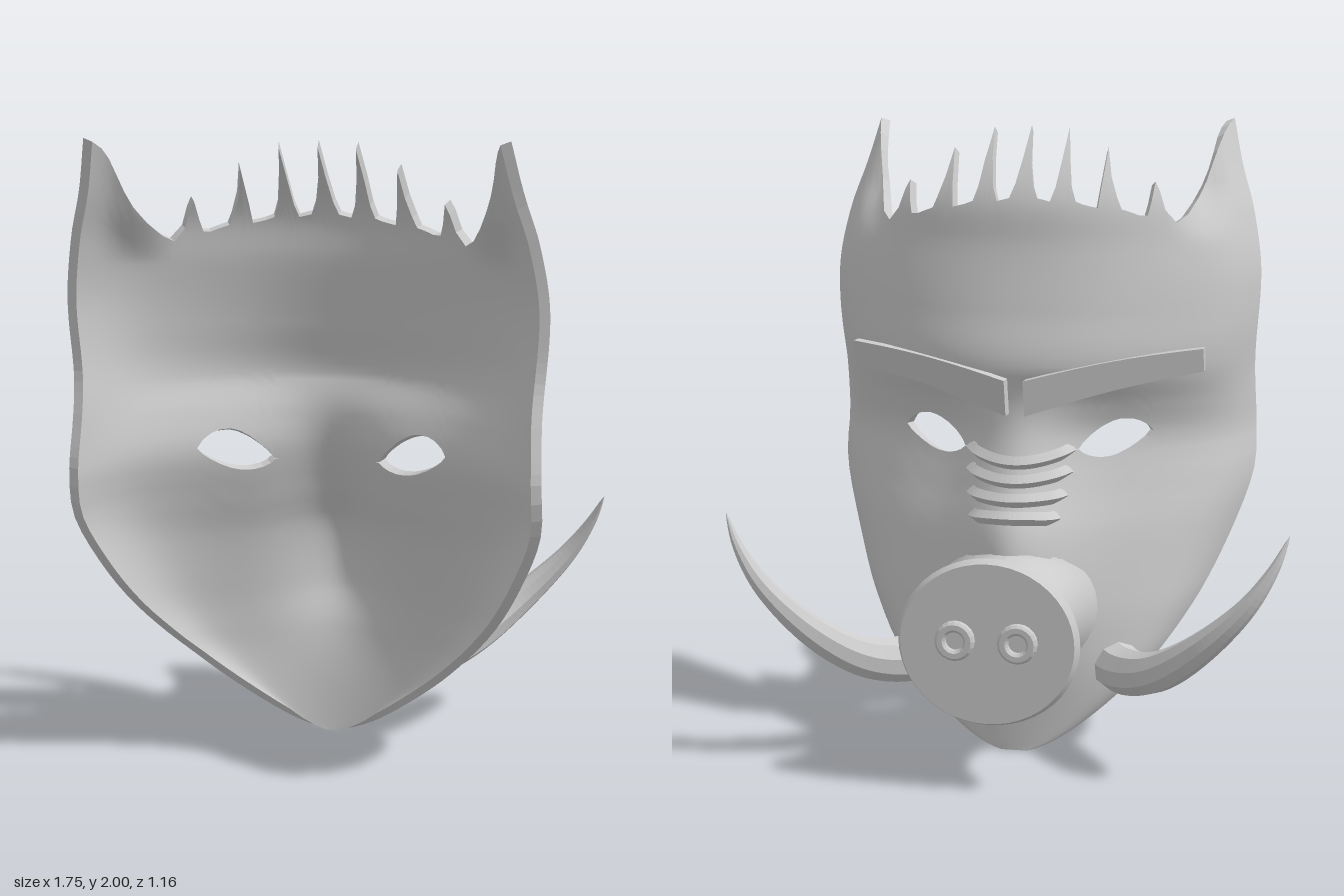
import * as THREE from 'three';

const mat = new THREE.MeshStandardMaterial({ color: 0xcccccc });
const facetMat = new THREE.MeshStandardMaterial({ color: 0xcccccc, flatShading: true });
const V = (x, y, z) => new THREE.Vector3(x, y, z);
const { clamp, lerp, smoothstep } = THREE.MathUtils;

// Smooth interpolation through [key, value] pairs
function profile(pts) {
  const slope = (i) => {
    const a = pts[Math.max(i - 1, 0)], b = pts[Math.min(i + 1, pts.length - 1)];
    return (b[1] - a[1]) / (b[0] - a[0]);
  };
  return (k) => {
    let i = 0;
    while (i < pts.length - 2 && k > pts[i + 1][0]) i++;
    const h = pts[i + 1][0] - pts[i][0];
    const t = clamp((k - pts[i][0]) / h, 0, 1), t2 = t * t, t3 = t2 * t;
    return (2 * t3 - 3 * t2 + 1) * pts[i][1] + (t3 - 2 * t2 + t) * h * slope(i)
      + (3 * t2 - 2 * t3) * pts[i + 1][1] + (t3 - t2) * h * slope(i + 1);
  };
}

// Mask profiles by height: half width, depth at the side edge, depth at the middle, nose bulge
const halfWidth = profile([[0, 0.04], [0.01, 0.075], [0.035, 0.13], [0.08, 0.2], [0.155, 0.295], [0.245, 0.39],
  [0.36, 0.485], [0.5, 0.575], [0.7, 0.665], [0.85, 0.71], [1, 0.71], [1.2, 0.705], [1.5, 0.72], [1.7, 0.69], [1.85, 0.645], [2, 0.61]]);
const edgeZ = profile([[0, -0.15], [0.1, -0.1], [0.2, -0.04], [0.3, 0.03], [0.4, 0.12], [0.6, 0.29], [0.8, 0.41],
  [0.9, 0.455], [1, 0.475], [1.15, 0.44], [1.3, 0.4], [1.45, 0.405], [1.6, 0.43], [1.8, 0.49], [2, 0.57]]);
const midZ = profile([[0, -0.15], [0.2, -0.17], [0.35, -0.17], [0.5, -0.15], [0.7, -0.1], [0.85, -0.04], [1, 0],
  [1.1, -0.03], [1.22, -0.09], [1.4, -0.06], [1.6, -0.02], [1.75, 0], [1.88, 0.07], [2, 0.17]]);
const noseBulge = profile([[0, 0], [0.2, 0], [0.35, 0.03], [0.5, 0.1], [0.7, 0.14], [0.85, 0.12], [1, 0.09], [1.1, 0.04], [1.2, 0], [2, 0]]);

function shellPoint(u, y) {
  const x = u * halfWidth(y), m = midZ(y), a = Math.abs(u);
  const ear = 0.17 * smoothstep(y, 1.6, 1.8) * smoothstep(a, 0.64, 0.8) * (1 - smoothstep(a, 0.8, 1));
  const bend = 0.7 * a ** 2 + 0.3 * a ** 12 + ear;
  return V(x, y, m + (edgeZ(y) - m) * bend - noseBulge(y) * Math.exp(-((x / 0.18) ** 2)));
}
const shellZ = (x, y) => shellPoint(clamp(x / halfWidth(y), -1, 1), y).z;

function shellNormal(u, y) {
  const e = 0.004, h = clamp(y, 0.03, 1.99);
  const du = shellPoint(u + e, h).sub(shellPoint(u - e, h));
  const dy = shellPoint(u, h + e).sub(shellPoint(u, h - e));
  return dy.cross(du).normalize();
}

// Top edge of one half as [x, y]: crown spikes, then the ear
const crown = [[0, 1.98], [0.012, 1.88], [0.028, 1.8], [0.045, 1.755], [0.085, 1.745], [0.1, 1.79], [0.113, 1.88],
  [0.122, 1.975], [0.138, 1.87], [0.15, 1.79], [0.165, 1.745], [0.177, 1.74], [0.19, 1.735], [0.21, 1.73], [0.233, 1.725],
  [0.24, 1.79], [0.25, 1.91], [0.268, 1.82], [0.29, 1.755], [0.305, 1.72], [0.335, 1.71], [0.36, 1.7], [0.383, 1.7],
  [0.392, 1.74], [0.4, 1.805], [0.415, 1.775], [0.435, 1.715], [0.47, 1.675], [0.5, 1.7], [0.525, 1.75], [0.543, 1.8],
  [0.556, 1.85], [0.57, 1.9], [0.585, 1.95], [0.597, 1.98], [0.61, 2]].map(([x, y]) => [x / halfWidth(y), y]);
const columns = [...crown.slice(1).reverse().map(([u, y]) => [-u, y]), ...crown];

// Heights of the eye line and its two lids
function lid(u, side) {
  const x = Math.abs(u) * 0.7;
  const line = 0.965 + 0.045 * smoothstep(x, 0.17, 0.41);
  const s = clamp((x - 0.182) / 0.221, 0, 1);
  return line + (side > 0 ? 0.066 : -0.046) * Math.max(0, Math.sin(Math.PI * s)) ** 0.7;
}

// Closed slab over a grid of surface heights; rows(u, top) lists the heights of a column
function slab(rows, name) {
  const pos = [], nor = [], T = 0.032;
  const grid = columns.map(([u, top]) => rows(u, top).map((y) => {
    const o = shellPoint(u, y), n = shellNormal(u, y), i = o.clone().addScaledVector(n, -T);
    i.y = clamp(i.y, 0, 2);
    return { o, n, i, m: n.clone().negate() };
  }));
  const quad = (p, n) => [0, 1, 2, 0, 2, 3].forEach((k) => { pos.push(...p[k].toArray()); nor.push(...n[k].toArray()); });
  const wall = (p, q) => {
    const n = p.o.clone().sub(q.o).cross(p.i.clone().sub(q.o)).normalize();
    quad([q.o, p.o, p.i, q.i], [n, n, n, n]);
  };
  const C = grid.length - 1, R = grid[0].length - 1;
  for (let c = 0; c < C; c++) for (let r = 0; r < R; r++) {
    const f = [grid[c][r], grid[c][r + 1], grid[c + 1][r + 1], grid[c + 1][r]];
    const back = [...f].reverse();
    quad(f.map((k) => k.o), f.map((k) => k.n));
    quad(back.map((k) => k.i), back.map((k) => k.m));
    if (c === 0) wall(f[0], f[1]);
    if (r === R - 1) wall(f[1], f[2]);
    if (c === C - 1) wall(f[2], f[3]);
    if (r === 0) wall(f[3], f[0]);
  }
  const g = new THREE.BufferGeometry();
  g.setAttribute('position', new THREE.Float32BufferAttribute(pos, 3));
  g.setAttribute('normal', new THREE.Float32BufferAttribute(nor, 3));
  return named(g, name);
}

function named(geometry, name, material = mat) {
  const mesh = new THREE.Mesh(geometry, material);
  mesh.name = name;
  return mesh;
}

// Move every vertex of a geometry by a rule
function warp(g, rule) {
  const p = g.attributes.position, v = V(0, 0, 0);
  for (let i = 0; i < p.count; i++) {
    v.fromBufferAttribute(p, i);
    rule(v, i);
    p.setXYZ(i, v.x, v.y, v.z);
  }
  g.computeVertexNormals();
  return g;
}

const steps = (n, fn) => Array.from({ length: n + 1 }, (_, i) => fn(i / n));
const lathe = (pts, n) => new THREE.LatheGeometry(pts.map(([r, d]) => new THREE.Vector2(r, d)), n).rotateX(-Math.PI / 2);

// Tapered, curved tusk
function tusk(s) {
  const curve = new THREE.CatmullRomCurve3([V(0.3, 0.3, -0.085), V(0.36, 0.29, -0.165), V(0.47, 0.325, -0.28),
    V(0.6, 0.42, -0.36), V(0.75, 0.57, -0.395), V(0.83, 0.69, -0.385), V(0.875, 0.79, -0.36)].map((p) => p.setX(p.x * s)));
  const n = 40, sides = 9;
  const g = warp(new THREE.TubeGeometry(curve, n, 1, sides), (v, i) => {
    const t = Math.floor(i / (sides + 1)) / n, c = curve.getPointAt(t);
    v.sub(c).multiplyScalar(0.083 * (1 - t) ** 0.75 * Math.min(1, Math.sqrt(t / 0.05))).add(c);
  });
  return named(g, s > 0 ? 'leftTusk' : 'rightTusk', facetMat);
}

// Slanted brow bar, taller at the nose
function brow(s) {
  const g = warp(new THREE.BoxGeometry(1, 1, 1, 10, 1, 1), (v) => {
    const t = s * v.x + 0.5, h = 0.115 - 0.04 * t;
    const y = 1.14 + 0.11 * t + 0.012 * Math.sin(Math.PI * t) + v.y * h;
    v.set(s * (0.03 + 0.54 * t), y, -0.115 + 0.2 * t + v.z * 0.055 - (y - 1.14 - 0.11 * t) * 0.25);
  });
  return named(g, s > 0 ? 'leftBrow' : 'rightBrow', facetMat);
}

// Wrinkle bar wrapped over the nose bridge
function wrinkle(y, bend, half) {
  const pts = steps(12, (t) => {
    const k = 2 * t - 1, x = k * half, h = y + bend * k * k;
    return V(x, h, shellZ(x, h) - 0.014 + 0.03 * k ** 12);
  });
  return named(new THREE.TubeGeometry(new THREE.CatmullRomCurve3(pts), 24, 0.022, 4), 'noseWrinkle', facetMat);
}

export function createModel() {
  const model = new THREE.Group();

  // Face shell, split along the eye line so the lids part around the eyes
  model.add(slab((u) => steps(32, (t) => lid(u, -1) * t ** 1.8), 'lowerFace'));
  model.add(slab((u, top) => [
    ...steps(20, (t) => lerp(lid(u, 1), 1.64, t)),
    ...steps(8, (t) => lerp(1.64, top, t)).slice(1)], 'upperFace'));

  // Snout flaring out of the face and ending in a flat disc
  const snout = new THREE.Group();
  snout.name = 'snout';
  const cy = 0.465;
  const trunk = lathe([[0.25, 0.07], [0.235, 0.13], [0.212, 0.19], [0.196, 0.25], [0.19, 0.32], [0.193, 0.38],
    [0.207, 0.44], [0.228, 0.48], [0.25, 0.525]], 48);
  trunk.scale(1.09, 1, 1).translate(0, cy, 0);
  snout.add(named(warp(trunk, (v) => { v.z = Math.min(v.z, shellZ(v.x, v.y) + 0.015); }), 'snoutTrunk'));
  const disc = lathe([[0, 0.52], [0.254, 0.52], [0.257, 0.53], [0.248, 0.54], [0.245, 0.558], [0.245, 0.558], [0, 0.558]], 48);
  snout.add(named(disc.scale(1.08, 1, 1).translate(0, cy, 0), 'snoutDisc'));
  for (const s of [-1, 1]) {
    const ring = lathe([[0.06, 0.55], [0.06, 0.575], [0.052, 0.583], [0.036, 0.583], [0.028, 0.575], [0.028, 0.562], [0, 0.562]], 20);
    snout.add(named(ring.translate(s * 0.095, 0.475, 0), s > 0 ? 'leftNostril' : 'rightNostril', facetMat));
  }
  model.add(snout);

  for (const s of [-1, 1]) model.add(tusk(s), brow(s));
  for (const [y, bend, half] of [[0.935, 0.03, 0.16], [0.88, 0.02, 0.155], [0.825, 0.005, 0.145], [0.775, -0.01, 0.13]]) {
    model.add(wrinkle(y, bend, half));
  }
  return model;
}
